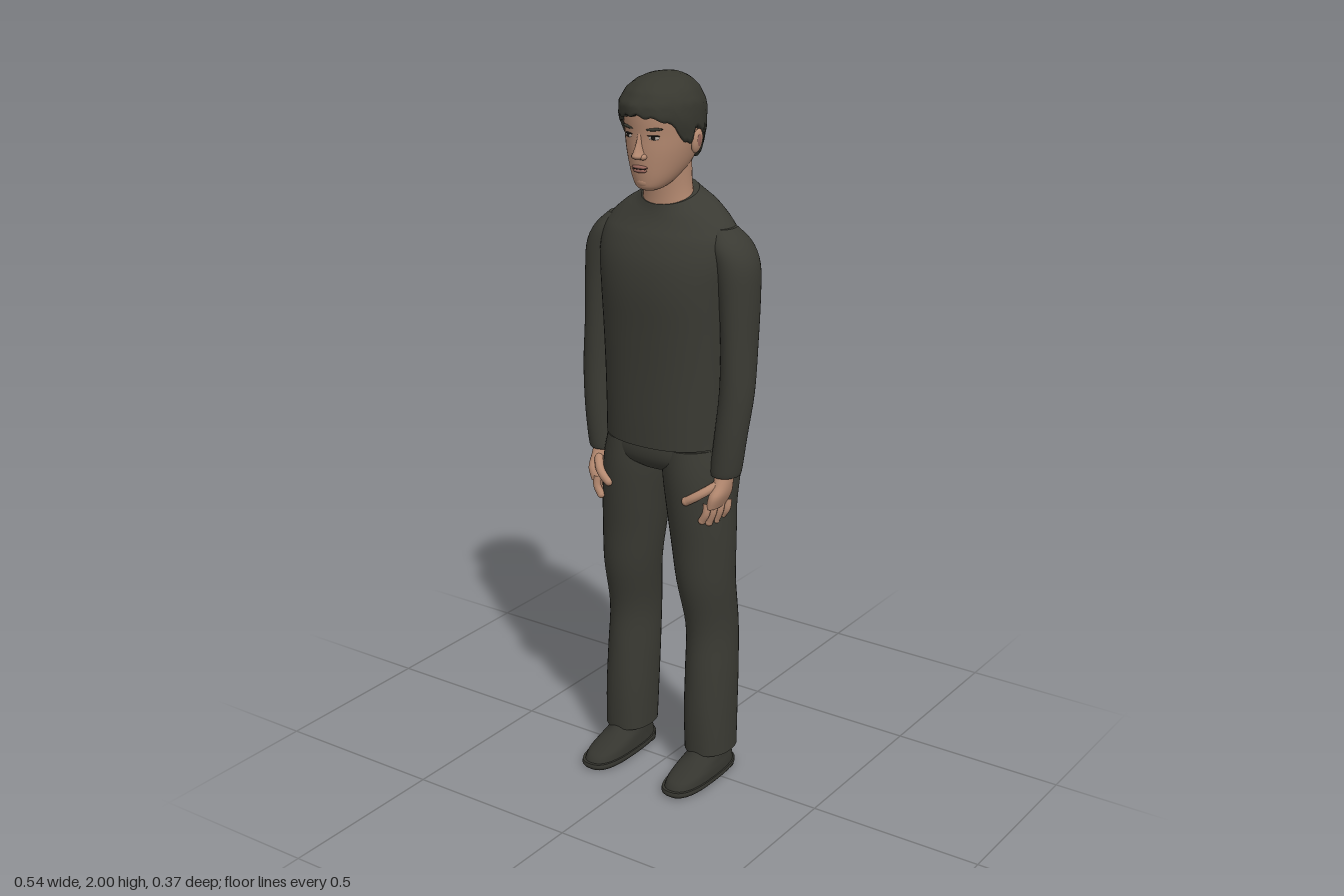
import * as THREE from 'three';

const mat = (name, color, side = THREE.FrontSide) => {
  const m = new THREE.MeshStandardMaterial({ color, side });
  m.name = name;
  return m;
};

// Catmull-Rom blend of the rows at fractional position t
function sampleRows(rows, t) {
  const i = Math.min(Math.floor(t), rows.length - 2), f = t - i;
  const at = (k) => rows[Math.max(0, Math.min(rows.length - 1, k))];
  return rows[i].map((_, k) => {
    const a = at(i - 1)[k], b = at(i)[k], c = at(i + 1)[k], d = at(i + 2)[k];
    return b + 0.5 * f * (c - a + f * (2 * a - 5 * b + 4 * c - d + f * (3 * (b - c) + d - a)));
  });
}

// Row lookup by height (first column)
function rowAt(rows, y) {
  let i = 0;
  while (i < rows.length - 2 && rows[i + 1][0] < y) i++;
  const f = Math.max(0, Math.min(1, (y - rows[i][0]) / (rows[i + 1][0] - rows[i][0])));
  return rows[i].map((v, k) => v + (rows[i + 1][k] - v) * f);
}

// Closed grid of points, rings running upward, optional flat caps
function skin(rings, segs, point, caps = true) {
  const pos = [], idx = [];
  for (let r = 0; r < rings; r++)
    for (let i = 0; i < segs; i++) pos.push(...point(r, (i / segs) * Math.PI * 2));
  for (let r = 0; r < rings - 1; r++)
    for (let i = 0; i < segs; i++) {
      const a = r * segs + i, b = r * segs + ((i + 1) % segs);
      idx.push(a, b, a + segs, b, b + segs, a + segs);
    }
  if (caps)
    for (const r of [0, rings - 1]) {
      const base = pos.length / 3, c = [0, 0, 0];
      for (let i = 0; i < segs; i++) {
        const p = point(r, (i / segs) * Math.PI * 2);
        pos.push(...p);
        p.forEach((v, k) => (c[k] += v / segs));
      }
      pos.push(...c);
      for (let i = 0; i < segs; i++) {
        const a = base + i, b = base + ((i + 1) % segs);
        idx.push(...(r ? [a, b, base + segs] : [b, a, base + segs]));
      }
    }
  const g = new THREE.BufferGeometry();
  g.setAttribute('position', new THREE.Float32BufferAttribute(pos, 3));
  g.setIndex(idx);
  g.computeVertexNormals();
  return g;
}

// Rows: [y, centre x, centre z, radius x, radius z, squareness, tilt]
function loft(rows, s = 1, segs = 36, sub = 4) {
  const full = rows.map((r) => [...r, ...[2, 0].slice(r.length - 5)]);
  const n = (full.length - 1) * sub + 1;
  const secs = Array.from({ length: n }, (_, r) => sampleRows(full, r / sub));
  const pw = (v, e) => Math.sign(v) * Math.pow(Math.abs(v), 2 / e);
  return skin(n, segs, (r, a) => {
    const [y, cx, cz, rx, rz, e, tilt] = secs[r];
    const z = rz * pw(Math.cos(a), e);
    return [s * cx + rx * pw(Math.sin(a), e), y - z * tilt, cz + z];
  });
}

const HEAD = [
  [1.703, 0, 0.075, 0.02, 0.022], [1.712, 0, 0.068, 0.038, 0.044], [1.735, 0, 0.048, 0.058, 0.07],
  [1.77, 0, 0.027, 0.076, 0.095], [1.81, 0, 0.02, 0.088, 0.104], [1.85, 0, 0.016, 0.095, 0.108],
  [1.9, 0, 0.014, 0.099, 0.113], [1.945, 0, 0.016, 0.088, 0.105], [1.975, 0, 0.016, 0.05, 0.06],
];
const HAIR = [
  [1.75, 0, -0.003, 0.075, 0.07], [1.78, 0, -0.004, 0.084, 0.087], [1.82, 0, 0.004, 0.1, 0.104],
  [1.86, 0, 0.012, 0.106, 0.121], [1.9, 0, 0.018, 0.108, 0.13], [1.93, 0, 0.02, 0.104, 0.127],
  [1.96, 0, 0.018, 0.089, 0.108], [1.98, 0, 0.014, 0.068, 0.083], [1.993, 0, 0.008, 0.04, 0.052],
  [2.0, 0, 0.004, 0.004, 0.005],
];
// Hairline height against the angle away from the front
const HAIRLINE = [
  [0, 1.905], [0.6, 1.895], [0.95, 1.875], [1.12, 1.83], [1.35, 1.825], [1.5, 1.868],
  [1.8, 1.855], [2.0, 1.8], [2.4, 1.775], [3.15, 1.762],
];

function hairGeometry() {
  const rings = 22;
  return skin(rings, 72, (r, a) => {
    const low = rowAt(HAIRLINE, Math.min(a, Math.PI * 2 - a))[1] + 0.004 * Math.sin(a * 17);
    // first ring tucks in under the hairline
    const t = Math.max(0, r - 1) / (rings - 2);
    const y = low + (2 - low) * (1 - Math.pow(1 - t, 1.6));
    const [, , cz, rx, rz] = rowAt(HAIR, y);
    const k = (r === 0 ? 0.84 : 1) + 0.012 * Math.sin(a * 7 + y * 60) * Math.sin(a * 4 - y * 45);
    return [k * rx * Math.sin(a), y, cz + k * rz * Math.cos(a)];
  }, false);
}

export function createModel() {
  const g = new THREE.Group();
  const cloth = mat('dark cloth', 0x3a3a33, THREE.DoubleSide);
  const hairMat = mat('dark hair', 0x37372f, THREE.DoubleSide);
  const leather = mat('dark leather', 0x35352f);
  const skinMat = mat('skin', 0xb48970);
  const lipMat = mat('lips', 0x96655a);
  const white = mat('eye white', 0xb9b0a8);
  const black = mat('eye dark', 0x1d1a17);

  const add = (name, geo, m) => {
    const mesh = new THREE.Mesh(geo, m);
    mesh.name = name;
    g.add(mesh);
    return mesh;
  };
  const blob = (name, m, p, size, roll = 0) => {
    const mesh = add(name, new THREE.SphereGeometry(1, 18, 12), m);
    mesh.position.set(...p);
    mesh.scale.set(...size);
    mesh.rotation.z = roll;
    return mesh;
  };
  const faceZ = (x, y) => {
    const [, , cz, rx, rz] = rowAt(HEAD, y);
    return cz + rz * Math.sqrt(1 - (x / rx) ** 2);
  };

  // Head and neck
  add('head', loft(HEAD), skinMat);
  add('hair', hairGeometry(), hairMat);
  add('neck', loft([[1.62, 0, -0.02, 0.085, 0.07], [1.69, 0, -0.008, 0.068, 0.06], [1.79, 0, 0.002, 0.068, 0.066]]), skinMat);
  add('nose', loft([
    [1.789, 0, 0.118, 0.012, 0.018], [1.797, 0, 0.12, 0.018, 0.029], [1.81, 0, 0.117, 0.013, 0.027],
    [1.835, 0, 0.114, 0.008, 0.018], [1.862, 0, 0.112, 0.009, 0.01],
  ], 1, 20), skinMat);
  blob('upperLip', lipMat, [0, 1.768, faceZ(0, 1.768)], [0.025, 0.005, 0.008]);
  blob('lowerLip', lipMat, [0, 1.759, faceZ(0, 1.759)], [0.021, 0.006, 0.009]);
  blob('mouthLine', black, [0, 1.7638, faceZ(0, 1.764) + 0.003], [0.023, 0.0014, 0.005]);
  blob('chin', skinMat, [0, 1.728, 0.1], [0.024, 0.018, 0.018]);

  // Jumper body with a collar that dips at the front
  add('jumper', loft([
    [1.005, 0, -0.03, 0.184, 0.152, 2.3], [1.08, 0, -0.023, 0.182, 0.145, 2.3], [1.2, 0, -0.018, 0.184, 0.139, 2.3],
    [1.32, 0, -0.014, 0.188, 0.137, 2.3], [1.43, 0, -0.014, 0.194, 0.14, 2.3], [1.51, 0, -0.019, 0.205, 0.136, 2.2],
    [1.57, 0, -0.024, 0.203, 0.119, 2.1], [1.61, 0, -0.026, 0.182, 0.103, 2, 0.1], [1.645, 0, -0.024, 0.142, 0.088, 2, 0.25],
    [1.668, 0, -0.02, 0.1, 0.076, 2, 0.33], [1.682, 0, -0.017, 0.08, 0.069, 2, 0.35],
  ], 1, 56), cloth);

  // Trouser seat
  add('trouserSeat', loft([
    [0.925, 0, -0.025, 0.1, 0.09], [0.95, 0, -0.027, 0.18, 0.122, 2.3], [0.99, 0, -0.027, 0.184, 0.131, 2.4],
    [1.05, 0, -0.025, 0.172, 0.12, 2.3],
  ], 1, 48), cloth);

  for (const [s, side] of [[1, 'left'], [-1, 'right']]) {
    // Face details
    const at = (x, y, dz) => [s * x, y, faceZ(x, y) + dz];
    const turn = (m, a) => { m.rotation.y = s * a; };
    turn(blob(side + 'Eye', white, at(0.039, 1.846, -0.001), [0.015, 0.0055, 0.004]), 0.35);
    blob(side + 'Iris', black, at(0.038, 1.8465, 0.001), [0.006, 0.0055, 0.004]);
    turn(blob(side + 'Eyelid', black, at(0.039, 1.8515, 0), [0.017, 0.002, 0.005]), 0.35);
    turn(blob(side + 'Brow', hairMat, at(0.041, 1.868, 0), [0.023, 0.004, 0.004], s * 0.08), 0.35);
    blob(side + 'Nostril', skinMat, [s * 0.013, 1.796, 0.124], [0.009, 0.008, 0.012]);
    blob(side + 'Ear', skinMat, [s * 0.099, 1.828, 0.006], [0.011, 0.032, 0.019], -s * 0.12).rotation.x = -0.15;
    blob(side + 'EarHollow', lipMat, [s * 0.107, 1.83, 0.008], [0.004, 0.018, 0.009], -s * 0.12);

    // Sleeve with cuff
    add(side + 'Sleeve', loft([
      [0.935, 0.201, 0.012, 0.037, 0.041], [0.95, 0.203, 0.012, 0.042, 0.045], [1.05, 0.215, 0.009, 0.044, 0.046],
      [1.17, 0.224, -0.004, 0.046, 0.052], [1.3, 0.222, -0.016, 0.046, 0.06], [1.42, 0.217, -0.022, 0.051, 0.066],
      [1.51, 0.207, -0.025, 0.056, 0.071], [1.565, 0.187, -0.026, 0.05, 0.066], [1.605, 0.165, -0.026, 0.03, 0.04],
    ], s), cloth);

    // Hand: palm, curled fingers, thumb reaching forward and inward
    add(side + 'Palm', loft([
      [0.852, 0.191, 0.041, 0.016, 0.042, 2.4], [0.885, 0.2, 0.036, 0.021, 0.046, 2.3],
      [0.915, 0.203, 0.026, 0.023, 0.036], [0.95, 0.202, 0.014, 0.026, 0.029],
    ], s, 24), skinMat);
    const digit = (name, pts, r) => {
      const curve = new THREE.CatmullRomCurve3(pts.map(([x, y, z]) => new THREE.Vector3(s * x, y, z)));
      add(name, new THREE.TubeGeometry(curve, 10, r, 10), skinMat);
      const end = pts[pts.length - 1];
      blob(name + 'Tip', skinMat, [s * end[0], end[1], end[2]], [r, r, r]);
    };
    for (let i = 0; i < 4; i++) {
      const z = 0.007 + i * 0.022, x = 0.207 - i * 0.008, low = [0.818, 0.806, 0.804, 0.814][i];
      digit(side + 'Finger' + (i + 1), [[x, 0.866, z], [x - 0.001, 0.838, z + 0.004], [x - 0.014, low, z + 0.004]], 0.0108);
    }
    digit(side + 'Thumb', [[0.199, 0.915, 0.045], [0.172, 0.895, 0.078], [0.15, 0.88, 0.091], [0.129, 0.867, 0.095]], 0.0125);

    // Trouser leg
    add(side + 'TrouserLeg', loft([
      [0.08, 0.138, -0.023, 0.067, 0.08, 2.3], [0.2, 0.136, -0.025, 0.069, 0.085, 2.2], [0.33, 0.134, -0.032, 0.07, 0.088],
      [0.46, 0.131, -0.036, 0.068, 0.088], [0.6, 0.124, -0.014, 0.079, 0.091], [0.72, 0.116, -0.013, 0.088, 0.098],
      [0.82, 0.108, -0.014, 0.093, 0.108], [0.92, 0.099, -0.026, 0.099, 0.126], [1.0, 0.092, -0.026, 0.09, 0.122],
    ], s), cloth);

    // Shoe
    add(side + 'Sole', loft([[0.004, 0.138, 0.039, 0.055, 0.145, 2.7], [0.012, 0.139, 0.04, 0.06, 0.15, 2.7], [0.022, 0.139, 0.04, 0.059, 0.148, 2.7]], s), leather);
    add(side + 'ShoeUpper', loft([
      [0.02, 0.139, 0.038, 0.055, 0.143, 2.6], [0.04, 0.139, 0.032, 0.053, 0.134, 2.5], [0.056, 0.138, 0.013, 0.05, 0.112, 2.3],
      [0.075, 0.138, -0.012, 0.047, 0.084], [0.11, 0.138, -0.026, 0.043, 0.062],
    ], s), leather);
    const heel = add(side + 'Heel', new THREE.CylinderGeometry(0.049, 0.047, 0.02, 24), leather);
    heel.position.set(s * 0.138, 0.01, -0.06);
  }
  return g;
}
